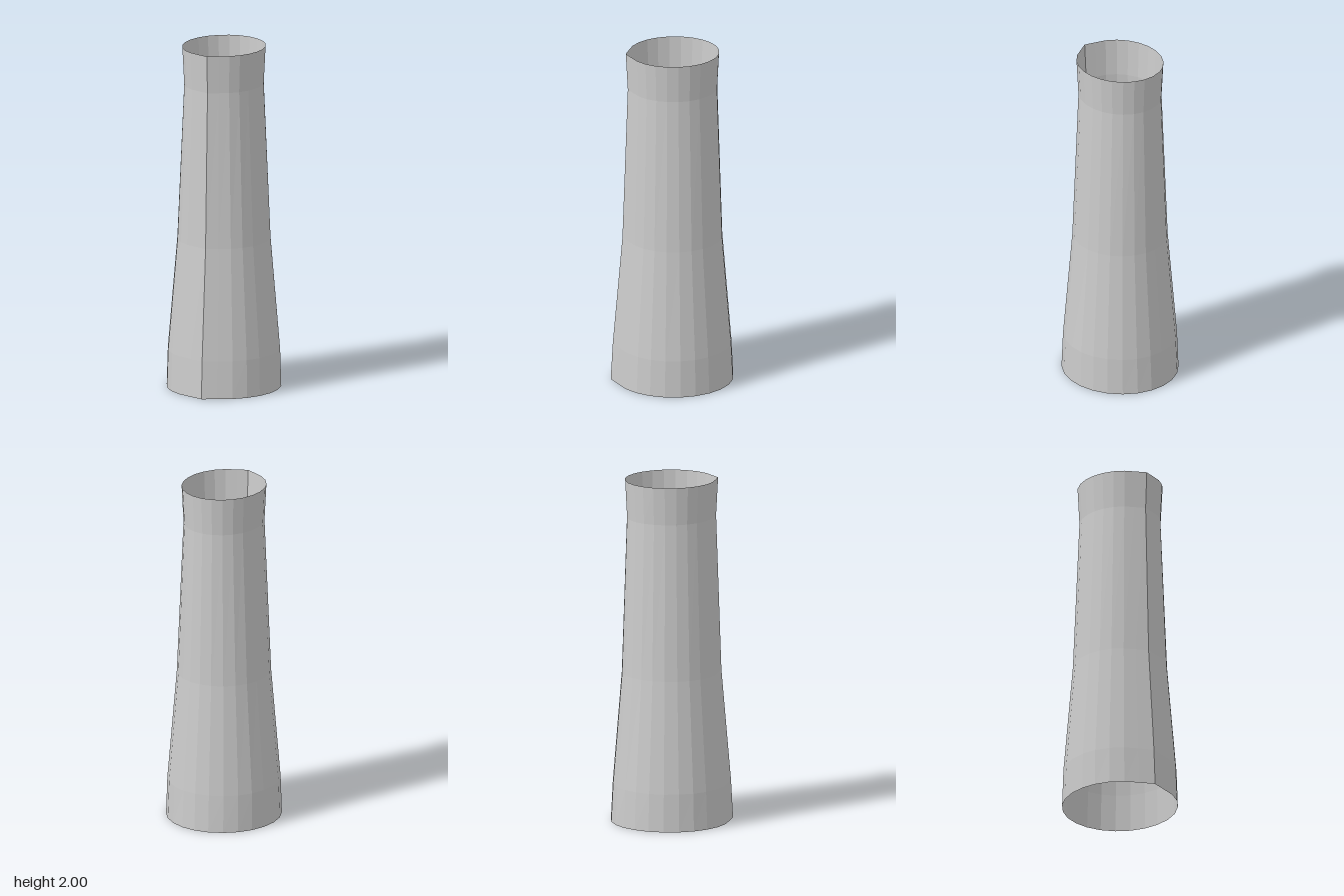
import * as THREE from 'three';

// Rings from bottom to top: height, half width, half depth
const RINGS = [
  [0, 0.328, 0.341],
  [0.22, 0.322, 0.33],
  [0.87, 0.267, 0.278],
  [1.78, 0.226, 0.249],
  [2, 0.237, 0.26],
];
const SIDES = 24;
const CENTRE_Z = -0.013;
const RIDGE = 1.068; // the front corner is pulled out into a ridge

export function createModel() {
  const group = new THREE.Group();
  group.name = 'openTube';

  // Open sleeve lofted through the oval rings
  const positions = [];
  const index = [];
  RINGS.forEach(([y, rx, rz], r) => {
    for (let i = 0; i < SIDES; i++) {
      const a = (i / SIDES) * Math.PI * 2;
      const pull = i === 0 ? RIDGE : 1;
      positions.push(Math.sin(a) * rx, y, CENTRE_Z + Math.cos(a) * rz * pull);
      if (r === RINGS.length - 1) continue;
      const p = r * SIDES + i;
      const q = r * SIDES + ((i + 1) % SIDES);
      index.push(p, q, q + SIDES, p, q + SIDES, p + SIDES);
    }
  });
  const geometry = new THREE.BufferGeometry();
  geometry.setAttribute('position', new THREE.Float32BufferAttribute(positions, 3));
  geometry.setIndex(index);
  geometry.computeVertexNormals();

  const sleeve = new THREE.Mesh(
    geometry,
    new THREE.MeshStandardMaterial({ color: 0xcccccc, flatShading: true, side: THREE.DoubleSide }),
  );
  sleeve.name = 'sleeve';
  group.add(sleeve);
  return group;
}
